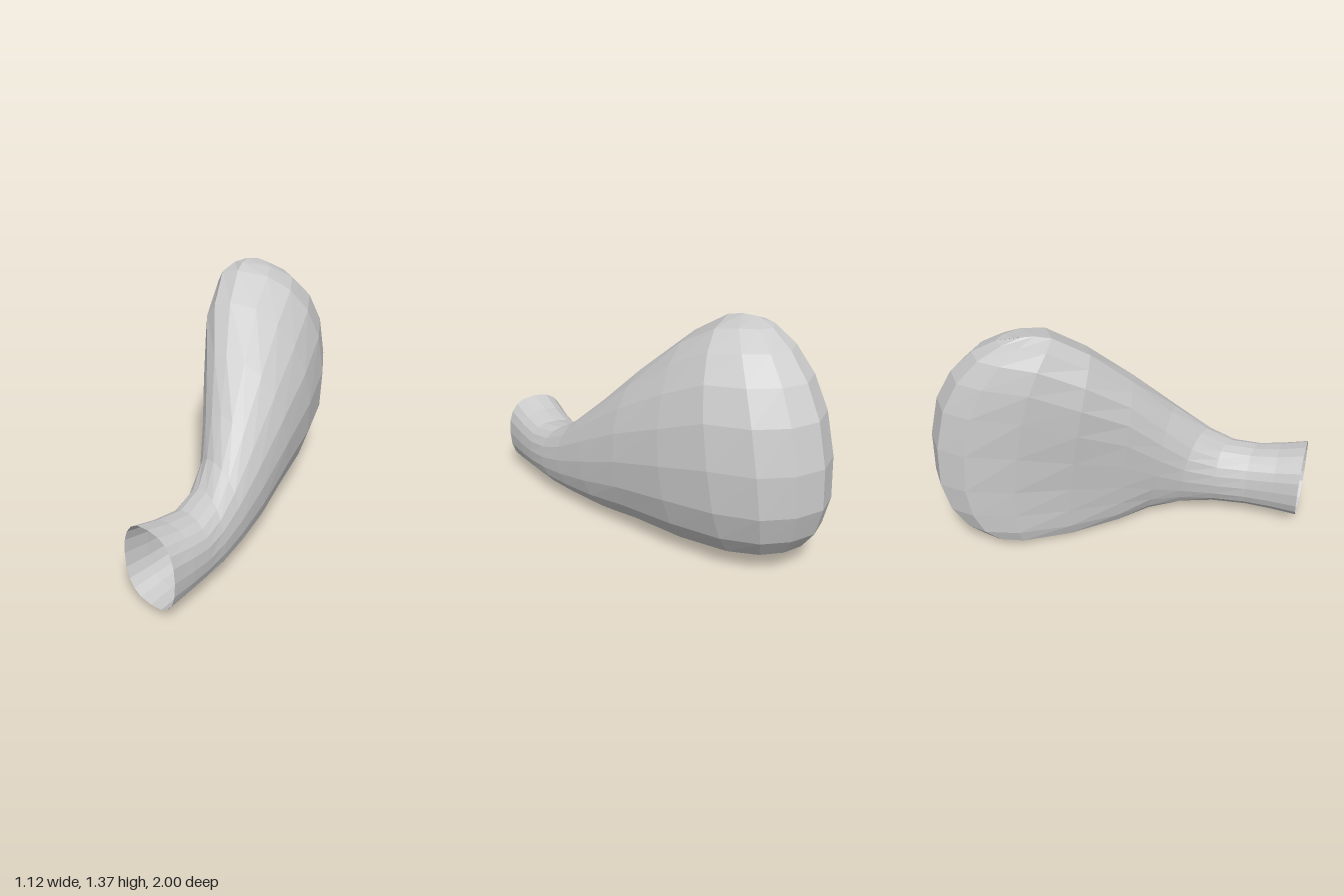
import * as THREE from 'three';

// Each cross-section: top [x,y,z], bottom [x,y,z], edges towards +x and -x [x,z],
// spread (lower = squarer shoulders) and hollow (dent in the -x flank)
const SECTIONS = [
  { top: [0.38, 0.495, 1.0], bottom: [0.38, 0.045, 1.0], plus: [0.563, 1.0], minus: [0.195, 1.0], spread: 0.75, hollow: 0 },
  { top: [0.37, 0.455, 0.85], bottom: [0.37, 0.06, 0.85], plus: [0.548, 0.85], minus: [0.2, 0.85], spread: 0.75, hollow: 0 },
  { top: [0.36, 0.435, 0.7], bottom: [0.36, 0.065, 0.7], plus: [0.53, 0.73], minus: [0.195, 0.69], spread: 0.78, hollow: 0 },
  { top: [0.31, 0.465, 0.53], bottom: [0.33, 0.065, 0.5], plus: [0.505, 0.59], minus: [0.15, 0.51], spread: 0.83, hollow: 0 },
  { top: [0.24, 0.565, 0.4], bottom: [0.26, 0.055, 0.32], plus: [0.47, 0.42], minus: [0.07, 0.33], spread: 0.9, hollow: 0.04 },
  { top: [0.14, 0.75, 0.24], bottom: [0.15, 0.037, 0.12], plus: [0.42, 0.2], minus: [-0.04, 0.2], spread: 0.95, hollow: 0.09 },
  { top: [0.0, 1.0, 0.05], bottom: [0.0, 0.02, -0.04], plus: [0.34, -0.09], minus: [-0.18, 0.06], spread: 0.92, hollow: 0.15 },
  { top: [-0.15, 1.22, -0.14], bottom: [-0.17, 0.0, -0.28], plus: [0.23, -0.42], minus: [-0.375, -0.17], spread: 0.84, hollow: 0.18 },
  { top: [-0.25, 1.345, -0.31], bottom: [-0.32, 0.02, -0.5], plus: [0.1, -0.7], minus: [-0.51, -0.45], spread: 0.75, hollow: 0.14 },
  { top: [-0.29, 1.365, -0.39], bottom: [-0.37, 0.04, -0.57], plus: [-0.06, -0.91], minus: [-0.565, -0.73], spread: 0.75, hollow: 0.05 },
  { top: [-0.32, 1.365, -0.45], bottom: [-0.39, 0.05, -0.61], plus: [-0.24, -0.995], minus: [-0.54, -0.9], spread: 0.75, hollow: 0 },
  // the end pinches shut along a curved seam
  { top: [-0.33, 1.365, -0.47], bottom: [-0.4, 0.055, -0.62], plus: [-0.41, -1.0], minus: [-0.41, -1.0], spread: 0.75, hollow: 0 },
];
const SIDES = 20;

const signedPower = (v, power) => Math.sign(v) * Math.pow(Math.abs(v), power);

// Point on a cross-section: a bowed loop through its top, plus, bottom and minus points
function sectionPoint({ top, bottom, plus, minus, spread, hollow }, angle) {
  const cos = Math.cos(angle);
  const sin = Math.sin(angle);
  const c = signedPower(cos, Math.min(0.95, spread + 0.1));
  const dent = sin < 0 ? 1 - hollow * (sin * sin + 1.3 * cos * sin) : 1;
  const s = signedPower(sin, spread) * dent;
  const bow = Math.pow(Math.abs(sin), 1.2);
  const blend = (t, b, p, m) => {
    const mid = (t + b) / 2;
    return mid + ((t - b) / 2) * c + ((p + m) / 2 - mid) * bow + ((p - m) / 2) * s;
  };
  const midY = (top[1] + bottom[1]) / 2;
  return [
    blend(top[0], bottom[0], plus[0], minus[0]),
    blend(top[1], bottom[1], midY, midY),
    blend(top[2], bottom[2], plus[1], minus[1]),
  ];
}

function loftGeometry() {
  const positions = [];
  const indices = [];
  for (const section of SECTIONS) {
    for (let j = 0; j < SIDES; j++) {
      positions.push(...sectionPoint(section, (j / SIDES) * Math.PI * 2));
    }
  }
  for (let i = 0; i < SECTIONS.length - 1; i++) {
    for (let j = 0; j < SIDES; j++) {
      const a = i * SIDES + j;
      const b = i * SIDES + ((j + 1) % SIDES);
      indices.push(a, b, a + SIDES, b, b + SIDES, a + SIDES);
    }
  }
  const geometry = new THREE.BufferGeometry();
  geometry.setAttribute('position', new THREE.Float32BufferAttribute(positions, 3));
  geometry.setIndex(indices);
  geometry.computeVertexNormals();
  return geometry;
}

export function createModel() {
  const group = new THREE.Group();
  group.name = 'hollowPouch';
  // open neck flowing into a flattened, curved bulb
  const material = new THREE.MeshStandardMaterial({
    color: 0xcccccc, flatShading: true, side: THREE.DoubleSide,
  });
  const body = new THREE.Mesh(loftGeometry(), material);
  body.name = 'neckAndBulb';
  group.add(body);
  return group;
}
